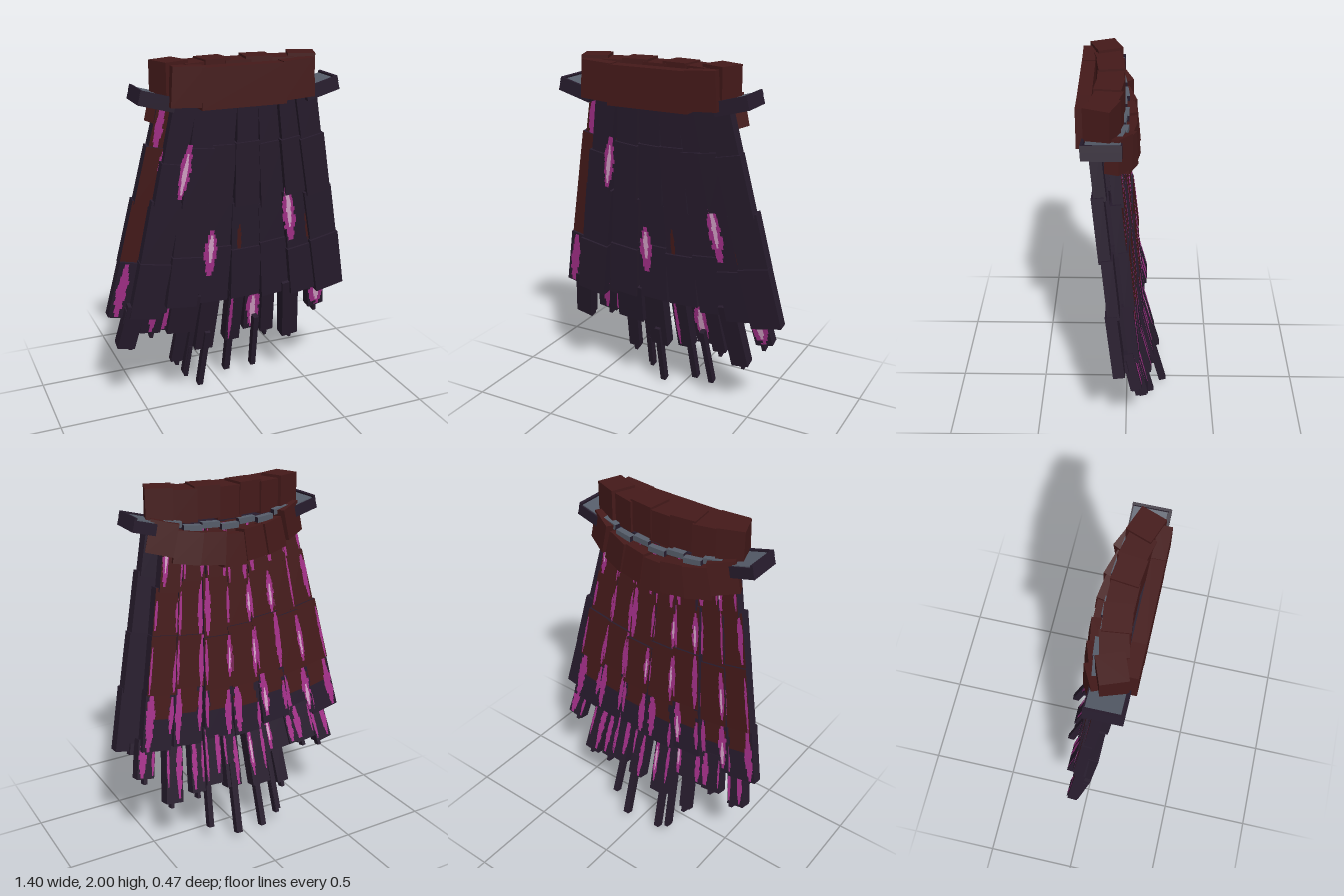
import * as THREE from 'three';

const mat = (name, color) => Object.assign(new THREE.MeshStandardMaterial({ color }), { name });

export function createModel() {
  const dark = mat('dark cloth', 0x271c2d);
  const brown = mat('brown leather', 0x451a1a);
  const magenta = mat('magenta streak', 0xa5308a);
  const pale = mat('pale streak', 0xd6a3c8);
  const grey = mat('grey lining', 0x565d6a);

  let seed = 7;
  const rnd = () => (seed = (seed * 16807) % 2147483647) / 2147483647;

  const model = new THREE.Group();
  const part = (name, parent = model) => {
    const g = new THREE.Group();
    g.name = name;
    parent.add(g);
    return g;
  };
  const box = (name, parent, size, pos, material, rot = [0, 0, 0]) => {
    const m = new THREE.Mesh(new THREE.BoxGeometry(...size), material);
    m.name = name;
    m.position.set(...pos);
    m.rotation.set(...rot);
    parent.add(m);
    return m;
  };

  // Fan of the cape: half width and depth at a height
  const fan = (y) => 0.36 + 0.217 * (1.8 - y);
  const depth = (y) => (y > 0.65 ? -0.01 + 0.104 * (y - 0.65) : -0.01 - 0.258 * (0.65 - y));
  const point = (u, y, dz, curve) =>
    new THREE.Vector3(u * fan(y), y, depth(y) + curve * Math.min(1, u * u) - 0.03 + dz);

  // One straight slab of cloth along the fan
  function slab(name, parent, { u, y0, y1, width, thick, dz, curve = 0.05, front = dark, back = dark }) {
    const a = point(u, y0, dz, curve), b = point(u, y1, dz, curve);
    const Y = a.clone().sub(b), length = Y.length();
    Y.normalize();
    const X = Y.clone().cross(new THREE.Vector3(0, 0, 1)).normalize();
    const Z = X.clone().cross(Y);
    const m = new THREE.Mesh(new THREE.BoxGeometry(width, length, thick),
      [dark, dark, dark, dark, front, back]);
    m.name = name;
    m.quaternion.setFromRotationMatrix(new THREE.Matrix4().makeBasis(X, Y, Z));
    m.position.copy(a.add(b).multiplyScalar(0.5));
    m.userData = { width, length, thick };
    parent.add(m);
    return m;
  }

  // Ragged painted patch with stepped edges, tapering at both ends
  function patch(name, host, face, x, y, w, h, material, lift, taper = 0.7) {
    const n = Math.max(3, Math.round(h / 0.025)), step = h / n, left = [], right = [];
    for (let i = 0; i < n; i++) {
      const k = 1 - taper * Math.abs((2 * (i + 0.5)) / n - 1) ** 2;
      const l = -w / 2 * k * (0.6 + 0.4 * rnd()), r = w / 2 * k * (0.6 + 0.4 * rnd());
      left.push([l, i * step - h / 2], [l, (i + 1) * step - h / 2]);
      right.push([r, i * step - h / 2], [r, (i + 1) * step - h / 2]);
    }
    const outline = [...right, ...left.reverse()].map((p) => new THREE.Vector2(...p));
    const m = new THREE.Mesh(new THREE.ShapeGeometry(new THREE.Shape(outline)), material);
    m.name = name;
    m.position.set(x, y, face * (host.userData.thick / 2 + lift));
    if (face < 0) m.rotation.y = Math.PI;
    host.add(m);
  }
  function streak(host, face, x, y, w, h, core) {
    patch('streak', host, face, x, y, w, h, magenta, 0.003);
    if (core) patch('streakCore', host, face, x, y + (rnd() - 0.5) * h * 0.3, w * 0.42, h * core, pale, 0.005);
  }
  // Streaks down the edges of a back face, one side heavier
  function edgeStreaks(host, strength) {
    const { width, length } = host.userData;
    const heavy = rnd() < 0.5 ? -1 : 1;
    for (const s of [-1, 1]) {
      const w = (s === heavy ? 0.05 : 0.024) * (0.8 + 0.4 * rnd()) * strength;
      const h = length * (s === heavy ? 0.75 + 0.25 * rnd() : 0.5 + 0.4 * rnd());
      streak(host, -1, s * (width - w) / 2, (rnd() - 0.5) * (length - h), w, h,
        s === heavy && rnd() < 0.5 ? 0.5 : 0);
    }
  }

  // A layer of fanned columns, each of four overlapping slabs
  const heights = [1.8, 1.52, 1.23, 0.94, 0.63];
  function layer(name, us, widths, curve, dz, thick, upper, finish) {
    const group = part(name);
    return us.map((u, c) => {
      const column = part(name + 'Column', group);
      const ys = heights.map((y, i) => (i ? y + (rnd() - 0.5) * (i === 4 ? 0.05 : 0.09) : y));
      return widths.map((width, i) => {
        const colour = i < 3 ? upper : dark;
        const s = slab(name + 'Segment', column, {
          u, y0: ys[i], y1: ys[i + 1] - 0.02, width, thick, curve,
          dz: dz + (i % 2 ? 0.006 : -0.006) + (c % 2 ? 0.004 : -0.004), front: colour, back: colour,
        });
        finish(s, i);
        return s;
      });
    });
  }
  const outer = layer('outerCape', [-0.82, -0.48, -0.17, 0.15, 0.46, 0.74, 0.99],
    [0.12, 0.14, 0.165, 0.175], 0.06, 0.015, 0.06, dark, () => {});
  const inner = layer('innerCape', [-1, -0.73, -0.43, -0.12, 0.19, 0.5, 0.8],
    [0.125, 0.155, 0.17, 0.172], 0.035, -0.027, 0.055, brown, (s, i) => {
      if (i === 3) patch('backLeather', s, -1, 0, 0.08, s.userData.width, 0.14, brown, 0.0015, 0.1);
      edgeStreaks(s, i === 3 ? 1.2 : 0.8);
    });

  // Front streaks: slab, x, y, width, height, core
  for (const [s, x, y, w, h, core] of [
    [outer[0][1], 0.06, 0.08, 0.07, 0.3, 0.75], [outer[2][3], -0.035, 0.14, 0.085, 0.28, 0.6],
    [outer[5][2], -0.058, 0.05, 0.085, 0.33, 0.75], [inner[0][0], -0.03, 0, 0.05, 0.28, 0],
    [inner[0][1], 0.02, 0.08, 0.04, 0.13, 0], [inner[0][3], -0.045, 0, 0.07, 0.32, 0],
  ]) streak(s, 1, x, y, w, h, core);
  // Leather showing through the front gaps
  patch('gapLeather', outer[5][2], 1, 0.058, -0.04, 0.05, 0.32, brown, 0.002);
  patch('gapLeather', outer[3][2], 1, -0.04, -0.08, 0.028, 0.2, brown, 0.002);

  // Ragged hem: x, top, bottom, width, thickness, z offset, front streak width, core
  const hem = part('raggedHem');
  for (const [x, y0, y1, width, thick, dz, front, core] of [
    [-0.58, 0.68, 0.41, 0.1, 0.07, 0, 0, 0], [-0.44, 0.68, 0.46, 0.12, 0.06, -0.03, 0.05, 0],
    [-0.27, 0.68, 0.44, 0.165, 0.07, 0.01, 0, 0], [-0.115, 0.66, 0.28, 0.11, 0.07, 0, 0, 0],
    [0.05, 0.66, 0.31, 0.09, 0.07, 0, 0.025, 0], [0.17, 0.68, 0.36, 0.1, 0.06, -0.02, 0.1, 0.75],
    [0.26, 0.66, 0.33, 0.08, 0.06, -0.005, 0, 0], [0.39, 0.68, 0.29, 0.1, 0.07, 0.02, 0, 0],
    [0.55, 0.68, 0.47, 0.1, 0.06, -0.015, 0.1, 0.6], [-0.37, 0.66, 0.46, 0.08, 0.05, -0.025, 0.06, 0],
  ]) {
    const s = slab('hemStrip', hem, { u: x / fan((y0 + y1) / 2), y0, y1, width, thick, dz });
    edgeStreaks(s, 0.85);
    if (front) streak(s, 1, x < 0 || core ? 0 : -0.025, 0, front, (y0 - y1) * 0.95, core);
  }
  // Thin tassels: x, top, bottom, width, z offset
  for (const [x, y0, y1, width, dz] of [
    [-0.28, 0.5, 0.23, 0.07, 0.025], [-0.285, 0.25, 0.2, 0.02, 0.025], [-0.2, 0.62, 0.1, 0.03, -0.005],
    [-0.205, 0.3, 0.08, 0.022, 0], [-0.12, 0.4, 0.01, 0.032, 0.035], [0.06, 0.45, 0.05, 0.036, -0.025],
    [0.195, 0.45, 0.09, 0.03, 0.035], [0.42, 0.35, 0.26, 0.018, 0.02], [-0.57, 0.45, 0.38, 0.02, 0],
    [-0.44, 0.5, 0.42, 0.02, -0.02], [0.56, 0.5, 0.43, 0.02, 0], [0.27, 0.36, 0.29, 0.018, 0],
    [-0.61, 0.66, 0.58, 0.025, 0], [0.61, 0.66, 0.6, 0.02, 0],
  ]) slab('tassel', hem, { u: x / fan((y0 + y1) / 2), y0, y1, width, thick: 0.04, dz });

  // Front collar bar in three pieces
  const collar = part('collar');
  box('collarFront', collar, [0.46, 0.21, 0.07], [-0.01, 1.865, 0.195], brown);
  for (const s of [-1, 1])
    box('collarFrontEnd', collar, [0.17, 0.2, 0.068], [s * 0.3 - 0.01, 1.88, 0.195], brown, [0, 0, s * 0.06]);
  box('collarFloor', collar, [0.66, 0.03, 0.14], [-0.01, 1.79, 0.1], dark);

  // Upper and lower collar arcs, with the lining between them
  for (let i = -3; i <= 3; i++) {
    const u = i / 3, lift = i % 2 ? 0.006 : -0.006;
    box('upperCollar', collar, [0.14, 0.17, 0.135], [u * 0.36 - 0.01, 1.903 + lift + 0.006 * u * u, 0.075 + 0.032 * u * u],
      brown, [0, -0.36 * u, 0]);
    box('lowerCollar', collar, [0.145, 0.17, 0.075], [u * 0.375 - 0.005, 1.665 + lift + 0.085 * u * u, -0.026 + 0.055 * u * u],
      brown, [0.1, -0.45 * u, 0.25 * u]);
    box('collarLining', collar, [0.1, 0.03, 0.035], [u * 0.32, 1.785 + lift + 0.03 * u * u, 0.006 + lift + 0.01 * u * u],
      [dark, dark, grey, dark, dark, grey], [0, -0.15 * u, 0.12 * u]);
  }

  // Tilted shoulder plates with grey tops
  for (const s of [-1, 1]) {
    const plate = part('shoulderPlate');
    plate.position.set(s * 0.45 - 0.01, 1.81, 0.105);
    plate.rotation.z = s * 0.27;
    box('plateBase', plate, [0.19, 0.06, 0.19], [0, 0, 0], dark);
    box('plateLining', plate, [0.17, 0.006, 0.165], [-s * 0.005, 0.032, -0.005], grey);
    box('plateRim', plate, [0.014, 0.03, 0.19], [s * 0.09, 0.028, 0], dark);
    box('plateRim', plate, [0.19, 0.03, 0.014], [0, 0.028, 0.09], dark);
  }

  // Stand on the ground and centre
  const bounds = new THREE.Box3().setFromObject(model, true);
  const mid = bounds.getCenter(new THREE.Vector3());
  const root = new THREE.Group();
  root.name = 'tatteredCape';
  model.position.set(-mid.x, -bounds.min.y, -mid.z);
  root.add(model);
  return root;
}
